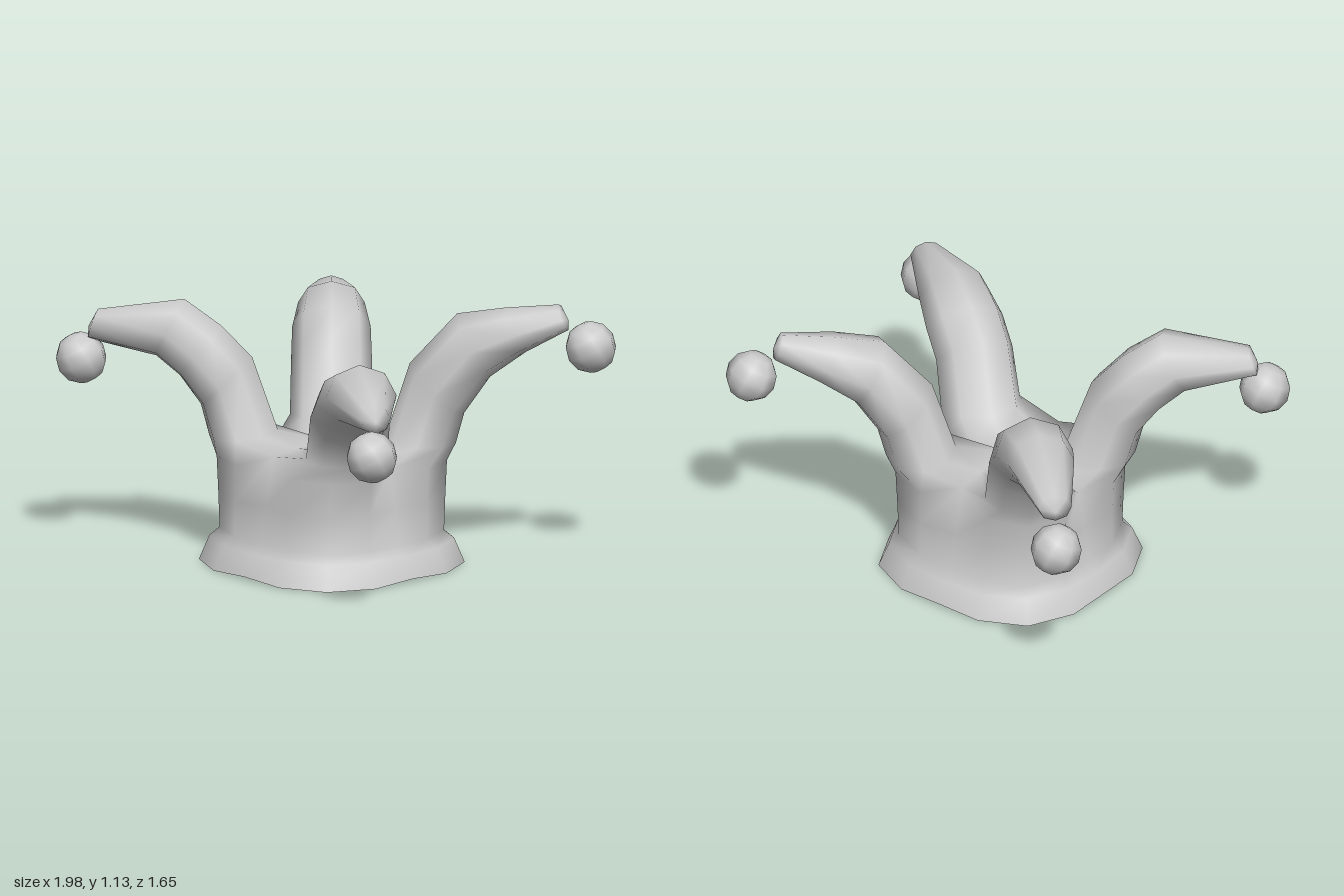
import * as THREE from 'three';

const CX = -0.045, CZ = 0.055; // centre of the cap
const SIDES = 16;

// Each horn: heading point, sections [rTop, yTop, rBottom, yBottom, halfWidth], bell centre.
// Listed in order of quadrant, turning from +x towards +z.
const HORNS = [
  { name: 'frontLeft', to: [0.88, 0.65], bell: [0.89, 0.73, 0.685],
    sections: [[0.35, 0.86, 0.56, 0.63, 0.17], [0.49, 0.95, 0.67, 0.71, 0.17], [0.68, 1.02, 0.78, 0.77, 0.15], [1.06, 0.94, 1.09, 0.82, 0.065]] },
  { name: 'frontRight', to: [-0.86, 0.67], bell: [-0.89, 0.84, 0.71],
    sections: [[0.34, 0.87, 0.56, 0.66, 0.17], [0.47, 1.00, 0.65, 0.78, 0.17], [0.63, 1.11, 0.75, 0.86, 0.15], [1.00, 1.05, 1.04, 0.92, 0.065]] },
  { name: 'backRight', to: [-0.85, -0.68], bell: [-0.89, 0.75, -0.725],
    sections: [[0.34, 0.89, 0.56, 0.64, 0.17], [0.48, 0.99, 0.67, 0.76, 0.165], [0.70, 1.04, 0.81, 0.83, 0.14], [1.08, 0.97, 1.10, 0.86, 0.07]] },
  { name: 'backLeft', to: [0.70, -0.60], bell: [0.765, 0.955, -0.68],
    sections: [[0.33, 0.87, 0.56, 0.66, 0.17], [0.53, 1.09, 0.67, 0.82, 0.155], [0.73, 1.12, 0.82, 0.93, 0.13], [0.96, 1.14, 1.00, 1.03, 0.065]] },
];

function createCloth() {
  const pos = [], index = [];
  const add = (x, y, z) => pos.push(x, y, z) / 3 - 1;

  // join two closed loops of vertex numbers
  const bridge = (a, b) => a.forEach((p, i) => {
    const n = (i + 1) % a.length;
    index.push(p, b[i], a[n], b[i], b[n], a[n]);
  });

  // rounded-square ring around the cap; "pinch" draws the points between horns inwards
  const ring = (rx, rz, power, yOf, pinch = 1) => Array.from({ length: SIDES }, (_, i) => {
    const t = (i / SIDES) * Math.PI * 2, c = Math.cos(t), s = Math.sin(t);
    const k = (Math.abs(c) ** power + Math.abs(s) ** power) ** (-1 / power) * (i % 4 ? 1 : pinch);
    return add(CX + rx * k * c, yOf(i), CZ + rz * k * s);
  });

  // flared brim and cap wall
  const valleyY = (i) => (i % 8 ? 0.51 : 0.46);
  const rings = [
    ring(0.505, 0.5, 2.9, (i) => (i % 4 ? 0.005 : 0.018)),
    ring(0.465, 0.46, 2.9, () => 0.11),
    ring(0.42, 0.405, 3.3, () => 0.145),
    ring(0.42, 0.4, 3.6, () => 0.3, 0.94),
    ring(0.425, 0.395, 3.9, (i) => (i % 4 ? 0.45 : valleyY(i)), 0.84),
  ];
  for (let i = 0; i < rings.length - 1; i++) bridge(rings[i], rings[i + 1]);
  const rim = rings[rings.length - 1];

  // cross-shaped valleys between the horns
  const centre = add(CX, 0.52, CZ);
  const valleys = [0, 1, 2, 3].map((q) => {
    const a = q * Math.PI / 2;
    return add(CX + 0.2 * Math.cos(a), valleyY(q * 4) + 0.015, CZ + 0.2 * Math.sin(a));
  });

  // horns, each rising from one quarter of the cap
  HORNS.forEach(({ to, sections }, q) => {
    const d = new THREE.Vector2(to[0] - CX, to[1] - CZ).normalize();
    let loop = [0, 1, 2, 3, 4].map((j) => rim[(q * 4 + j) % SIDES]);
    loop.push(valleys[(q + 1) % 4], centre, valleys[q]);
    for (const [rt, yt, rb, yb, hw] of [[0.23, 0.56, 0.525, 0.53, 0.175], ...sections]) {
      const next = loop.map((_, j) => {
        const f = (j - 2) * Math.PI / 4, c = Math.cos(f), w = hw * Math.sin(f);
        const r = (rt + rb) / 2 - c * (rt - rb) / 2;
        const y = (yt + yb) / 2 - c * (yt - yb) / 2;
        return add(CX + d.x * r - d.y * w, y, CZ + d.y * r + d.x * w);
      });
      bridge(loop, next);
      loop = next;
    }
    // closed tip
    const [rt, yt, rb, yb] = sections[sections.length - 1];
    const r = (rt + rb) / 2 + 0.02;
    const tip = add(CX + d.x * r, (yt + yb) / 2 - 0.01, CZ + d.y * r);
    loop.forEach((p, j) => index.push(p, tip, loop[(j + 1) % loop.length]));
  });

  const geo = new THREE.BufferGeometry();
  geo.setAttribute('position', new THREE.Float32BufferAttribute(pos, 3));
  geo.setIndex(index);
  geo.computeVertexNormals();
  return geo;
}

export function createModel() {
  const group = new THREE.Group();
  group.name = 'jesterHat';

  const cloth = new THREE.Mesh(createCloth(),
    new THREE.MeshStandardMaterial({ color: 0xcccccc, side: THREE.DoubleSide }));
  cloth.name = 'hatCloth';
  group.add(cloth);

  // round bells hanging at the horn tips
  const bellGeo = new THREE.SphereGeometry(0.11, 8, 6);
  const bellMat = new THREE.MeshStandardMaterial({ color: 0xcccccc });
  for (const { name, bell } of HORNS) {
    const mesh = new THREE.Mesh(bellGeo, bellMat);
    mesh.name = name + 'Bell';
    mesh.position.set(...bell);
    mesh.rotation.set(0.3, 0.4, 0.3);
    group.add(mesh);
  }
  return group;
}
